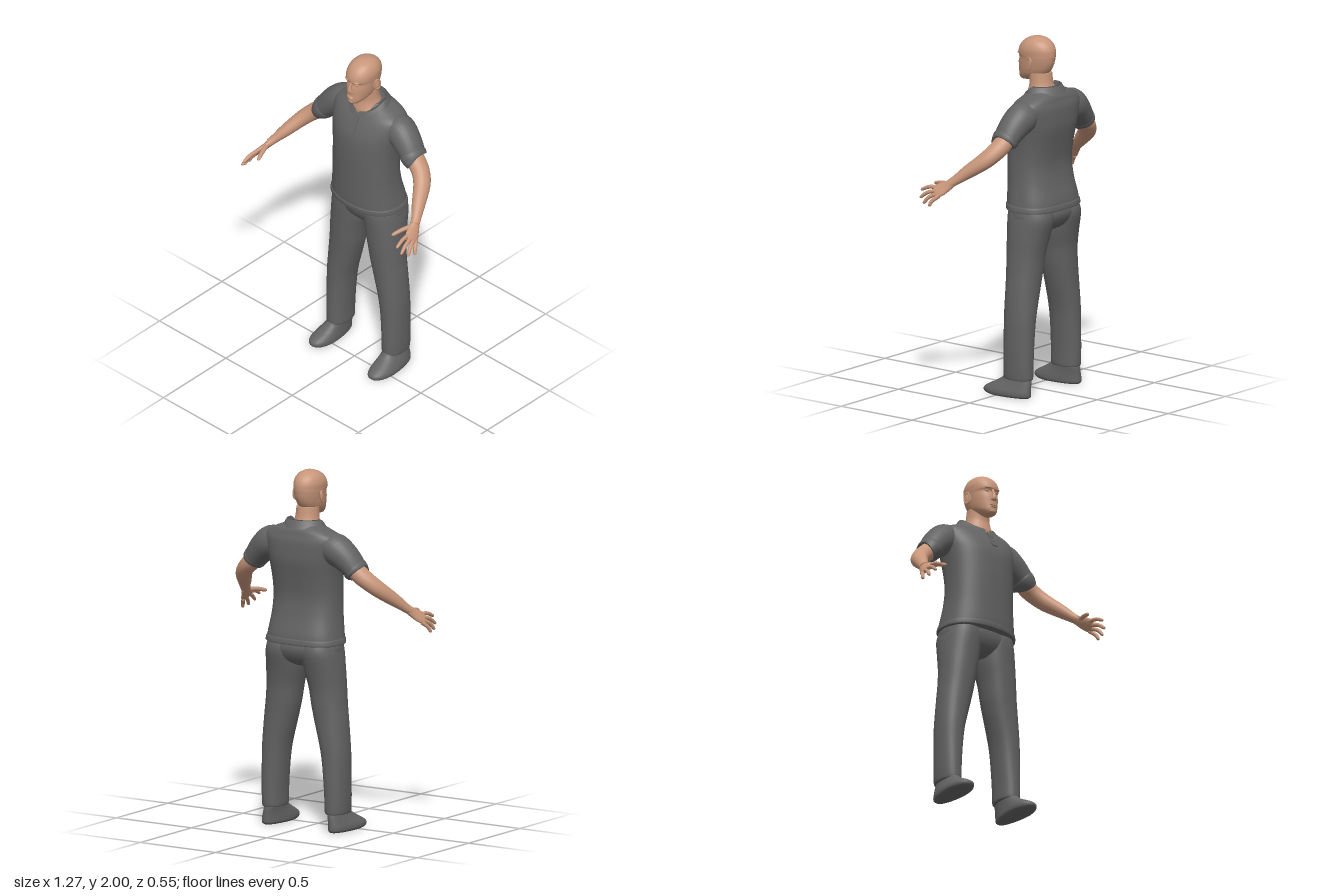
import * as THREE from 'three';

const mat = (name, color, side = THREE.FrontSide) => {
  const m = new THREE.MeshStandardMaterial({ color, side });
  m.name = name;
  return m;
};

// Catmull-Rom resampling of rows of numbers
function smooth(rows, k = 4) {
  const out = [], n = rows.length;
  for (let i = 0; i < n - 1; i++) {
    const [p0, p1, p2, p3] = [-1, 0, 1, 2].map(o => rows[Math.min(n - 1, Math.max(0, i + o))]);
    for (let s = 0; s < k; s++) {
      const t = s / k;
      out.push(p1.map((b, c) => {
        const a = p0[c], d = p2[c], e = p3[c];
        return b + 0.5 * t * (d - a + t * (2 * a - 5 * b + 4 * d - e + t * (3 * (b - d) + e - a)));
      }));
    }
  }
  out.push(rows[n - 1]);
  return out;
}

// Closed skin over rings of points, with capped ends
function skinRings(rings) {
  const pos = [], idx = [], n = rings[0].length, m = rings.length;
  rings.forEach(r => r.forEach(p => pos.push(p.x, p.y, p.z)));
  for (let j = 0; j < m - 1; j++) for (let i = 0; i < n; i++) {
    const a = j * n + i, b = j * n + (i + 1) % n;
    idx.push(a, b, a + n, b, b + n, a + n);
  }
  for (const j of [0, m - 1]) {
    const start = pos.length / 3, c = new THREE.Vector3();
    rings[j].forEach(p => { c.addScaledVector(p, 1 / n); pos.push(p.x, p.y, p.z); });
    pos.push(c.x, c.y, c.z);
    for (let i = 0; i < n; i++) {
      const a = start + i, b = start + (i + 1) % n;
      if (j === 0) idx.push(start + n, b, a); else idx.push(start + n, a, b);
    }
  }
  const g = new THREE.BufferGeometry();
  g.setAttribute('position', new THREE.Float32BufferAttribute(pos, 3));
  g.setIndex(idx);
  g.computeVertexNormals();
  return g;
}

// Upright body from rows [y, halfWidth, zFront, zBack, centreX], superellipse powers front and back
function loft(rows, nf = 2, nb = 2, seg = 40) {
  return skinRings(smooth(rows).map(([y, w, zf, zb, cx]) => Array.from({ length: seg }, (_, i) => {
    const a = i / seg * Math.PI * 2, s = Math.sin(a), c = Math.cos(a), p = 2 / (c > 0 ? nf : nb);
    return new THREE.Vector3(cx + w * Math.sign(s) * Math.abs(s) ** p, y,
      (zf + zb) / 2 + (zf - zb) / 2 * Math.sign(c) * Math.abs(c) ** p);
  })));
}

// Limb along a path of rows [x, y, z, ra, rb]; ra lies along the hint direction
function limb(rows, hint, seg = 20, k = 4) {
  const r = smooth(rows, k), P = r.map(q => new THREE.Vector3(q[0], q[1], q[2]));
  return skinRings(r.map((q, j) => {
    const t = P[Math.min(P.length - 1, j + 1)].clone().sub(P[Math.max(0, j - 1)]).normalize();
    const a = new THREE.Vector3(...hint).addScaledVector(t, -t.dot(new THREE.Vector3(...hint))).normalize();
    const b = t.clone().cross(a);
    return Array.from({ length: seg }, (_, i) => {
      const w = i / seg * Math.PI * 2;
      return P[j].clone().addScaledVector(a, q[3] * Math.cos(w)).addScaledVector(b, q[4] * Math.sin(w));
    });
  }));
}

// Folded collar, open at the front
function collarGeometry() {
  const pos = [], idx = [], n = 48, rows = 4;
  for (let i = 0; i <= n; i++) {
    const a = 0.13 + (i / n) * (Math.PI * 2 - 0.26), f = Math.max(0, Math.cos(a));
    const point = f ** 6 * 0.02, y = 1.737 - 0.065 * f;
    for (const [r, dy] of [[-0.004, -0.035], [0, 0], [0.012, -0.004], [0.036, -0.045 - point]])
      pos.push((0.096 + r) * Math.sin(a), y + dy, -0.12 + (0.085 + r) * Math.cos(a));
  }
  for (let i = 0; i < n; i++) for (let j = 0; j < rows - 1; j++) {
    const a = i * rows + j, b = a + rows;
    idx.push(a, b, a + 1, b, b + 1, a + 1);
  }
  const g = new THREE.BufferGeometry();
  g.setAttribute('position', new THREE.Float32BufferAttribute(pos, 3));
  g.setIndex(idx);
  g.computeVertexNormals();
  return g;
}

export function createModel() {
  const root = new THREE.Group();
  root.name = 'standingMan';
  const skin = mat('skin', 0xc8967a), cloth = mat('greyCloth', 0x636363);
  const clothOpen = mat('greyClothOpen', 0x636363, THREE.DoubleSide);
  const add = (name, geo, m) => {
    const o = new THREE.Mesh(geo, m);
    o.name = name;
    root.add(o);
    return o;
  };
  const blob = (name, x, y, z, sx, sy, sz) => {
    const o = add(name, new THREE.SphereGeometry(1, 20, 14), skin);
    o.position.set(x, y, z);
    o.scale.set(sx, sy, sz);
    return o;
  };
  const c0 = r => [...r, 0];

  // Head, neck and face
  add('head', loft([
    [1.748, 0.015, 0.018, -0.03], [1.752, 0.03, 0.03, -0.045], [1.77, 0.048, 0.036, -0.09],
    [1.79, 0.06, 0.036, -0.14], [1.815, 0.068, 0.035, -0.165], [1.85, 0.074, 0.034, -0.182],
    [1.882, 0.078, 0.027, -0.189], [1.9, 0.08, 0.036, -0.191], [1.93, 0.081, 0.03, -0.189],
    [1.96, 0.072, 0.012, -0.175], [1.982, 0.055, -0.015, -0.15], [1.996, 0.028, -0.05, -0.117],
    [2.0, 0.002, -0.08, -0.084]].map(c0), 2.2, 2), skin);
  add('neck', loft([[1.62, 0.1, -0.03, -0.2], [1.67, 0.095, -0.027, -0.195], [1.7, 0.08, -0.034, -0.187],
    [1.74, 0.067, -0.04, -0.172], [1.8, 0.062, -0.03, -0.165]].map(c0)), skin);
  add('nose', limb([[0, 1.893, 0.026, 0.008, 0.008], [0, 1.865, 0.034, 0.009, 0.01],
    [0, 1.84, 0.039, 0.014, 0.012], [0, 1.829, 0.036, 0.013, 0.009], [0, 1.824, 0.032, 0.004, 0.003]],
    [1, 0, 0], 16), skin);
  blob('upperLip', 0, 1.797, 0.033, 0.024, 0.005, 0.009);
  blob('lowerLip', 0, 1.787, 0.033, 0.02, 0.006, 0.009);
  blob('chin', 0, 1.763, 0.024, 0.022, 0.013, 0.014);
  for (const s of [1, -1]) {
    blob('brow', s * 0.031, 1.9, 0.025, 0.021, 0.006, 0.009).rotation.y = s * 0.3;
    blob('eye', s * 0.031, 1.882, 0.018, 0.014, 0.006, 0.007).rotation.y = s * 0.3;
    blob('nostril', s * 0.012, 1.832, 0.034, 0.007, 0.006, 0.008);
    const ear = blob('ear', s * 0.083, 1.857, -0.088, 0.009, 0.034, 0.02);
    ear.rotation.set(-0.15, s * -0.3, 0);
    const rim = add('earRim', new THREE.TorusGeometry(0.018, 0.004, 8, 20), skin);
    rim.position.set(s * 0.089, 1.858, -0.09);
    rim.scale.set(1, 1.7, 1);
    rim.rotation.y = s * (Math.PI / 2 - 0.3);
  }

  // Shirt body, hem band, collar, placket and buttons
  add('shirtBody', loft([
    [1.05, 0.226, 0.046, -0.266], [1.1, 0.219, 0.05, -0.263], [1.2, 0.206, 0.051, -0.238],
    [1.3, 0.201, 0.052, -0.226], [1.4, 0.203, 0.052, -0.238], [1.5, 0.214, 0.046, -0.256],
    [1.56, 0.226, 0.03, -0.258], [1.62, 0.235, 0.0, -0.255], [1.655, 0.225, -0.025, -0.245],
    [1.682, 0.175, -0.048, -0.237], [1.7, 0.13, -0.06, -0.222], [1.715, 0.1, -0.075, -0.205]].map(c0),
    2.2, 2.7, 56), cloth);
  add('hemBand', loft([[1.045, 0.227, 0.046, -0.268], [1.05, 0.231, 0.051, -0.273],
    [1.074, 0.227, 0.053, -0.27], [1.078, 0.22, 0.048, -0.264]].map(c0), 2.2, 2.7, 56), cloth);
  add('collar', collarGeometry(), clothOpen);
  const placket = add('placket', new THREE.BoxGeometry(0.034, 0.1, 0.008), cloth);
  placket.position.set(0.008, 1.598, 0.012);
  placket.rotation.x = -0.46;
  for (const [y, z] of [[1.62, 0.005], [1.585, 0.023]]) {
    const button = add('button', new THREE.CylinderGeometry(0.007, 0.007, 0.006, 14), cloth);
    button.position.set(0.01, y, z);
    button.rotation.x = Math.PI / 2 - 0.46;
  }

  // Trousers seat
  add('trouserSeat', loft([[0.915, 0.05, -0.06, -0.17], [0.94, 0.15, -0.025, -0.22], [0.98, 0.212, 0.0, -0.25],
    [1.03, 0.222, 0.01, -0.26], [1.1, 0.2, 0.0, -0.23]].map(c0), 2.3, 2.3), cloth);

  for (const s of [1, -1]) {
    const m = rows => rows.map(([x, ...r]) => [s * x, ...r]);
    const mc = rows => rows.map(([y, w, f, b, x]) => [y, w, f, b, s * x]);

    // Sleeve and cuff
    add('sleeve', limb(m([[0.13, 1.61, -0.14, 0.06, 0.07], [0.205, 1.588, -0.14, 0.088, 0.088],
      [0.275, 1.54, -0.13, 0.079, 0.083], [0.342, 1.468, -0.118, 0.06, 0.073]]), [s, 1, 0], 28), cloth);
    add('cuff', limb(m([[0.322, 1.49, -0.122, 0.064, 0.076], [0.326, 1.486, -0.121, 0.068, 0.08],
      [0.343, 1.467, -0.118, 0.064, 0.077], [0.346, 1.464, -0.118, 0.059, 0.072]]), [s, 1, 0], 28, 2), cloth);

    // Arm and hand
    add('arm', limb(m([[0.31, 1.5, -0.12, 0.05, 0.056], [0.36, 1.452, -0.115, 0.05, 0.055],
      [0.405, 1.415, -0.1, 0.047, 0.052], [0.45, 1.37, -0.062, 0.043, 0.049], [0.498, 1.307, 0.015, 0.035, 0.039],
      [0.532, 1.26, 0.07, 0.025, 0.029], [0.548, 1.238, 0.1, 0.022, 0.027]]), [s, 1, 0], 24), skin);
    add('palm', limb(m([[0.542, 1.246, 0.085, 0.026, 0.02], [0.556, 1.222, 0.115, 0.034, 0.018],
      [0.572, 1.203, 0.145, 0.042, 0.016], [0.584, 1.19, 0.17, 0.04, 0.013], [0.588, 1.186, 0.178, 0.032, 0.006]]),
      [s * 0.034, -0.05, -0.04], 20), skin);
    const digits = {
      thumb: [[0.547, 1.235, 0.115], [0.527, 1.23, 0.175], [0.506, 1.215, 0.235]],
      indexFinger: [[0.566, 1.212, 0.165], [0.572, 1.207, 0.225], [0.577, 1.185, 0.275]],
      middleFinger: [[0.58, 1.196, 0.165], [0.592, 1.18, 0.22], [0.6, 1.147, 0.264]],
      ringFinger: [[0.589, 1.183, 0.155], [0.607, 1.158, 0.2], [0.617, 1.123, 0.228]],
      littleFinger: [[0.594, 1.172, 0.138], [0.615, 1.145, 0.168], [0.626, 1.115, 0.182]],
    };
    for (const [name, [a, b, c]] of Object.entries(digits)) {
      const tip = c.map((v, i) => v + (v - b[i]) * 0.06), near = c.map((v, i) => v - (v - b[i]) * 0.12);
      const r = name === 'thumb' ? 0.013 : 0.0115;
      add(name, limb(m([[...a, r, r], [...b, r * 0.95, r * 0.95], [...near, r * 0.75, r * 0.75],
        [...tip, 0.002, 0.002]]), [s, 0.3, 0], 12), skin);
    }

    // Trouser leg and shoe
    add('trouserLeg', loft(mc([[0.105, 0.056, -0.024, -0.198, 0.208], [0.12, 0.06, -0.02, -0.202, 0.208],
      [0.2, 0.063, -0.02, -0.203, 0.208], [0.33, 0.069, -0.022, -0.203, 0.203], [0.45, 0.077, -0.02, -0.204, 0.194],
      [0.6, 0.091, -0.016, -0.206, 0.169], [0.7, 0.097, -0.01, -0.21, 0.152], [0.8, 0.101, -0.003, -0.217, 0.14],
      [0.9, 0.109, 0.003, -0.238, 0.126], [1.0, 0.108, 0.01, -0.262, 0.116], [1.06, 0.1, 0.005, -0.25, 0.11]]),
      2.2, 2.2, 32), cloth);
    const shoe = loft(mc([[0.004, 0.055, 0.085, -0.19, 0.22], [0.014, 0.066, 0.105, -0.201, 0.222],
      [0.034, 0.067, 0.108, -0.202, 0.222], [0.055, 0.062, 0.08, -0.201, 0.219], [0.08, 0.055, 0.03, -0.2, 0.214],
      [0.105, 0.05, -0.01, -0.197, 0.209], [0.14, 0.045, -0.035, -0.185, 0.208]]), 2.3, 2.3, 32);
    // narrower heel
    const p = shoe.attributes.position;
    for (let i = 0; i < p.count; i++) {
      const k = THREE.MathUtils.smoothstep(p.getZ(i), -0.2, 0.03);
      p.setX(i, s * 0.215 + (p.getX(i) - s * 0.215) * (0.78 + 0.22 * k));
    }
    shoe.computeVertexNormals();
    add('shoe', shoe, cloth);
  }
  return root;
}
